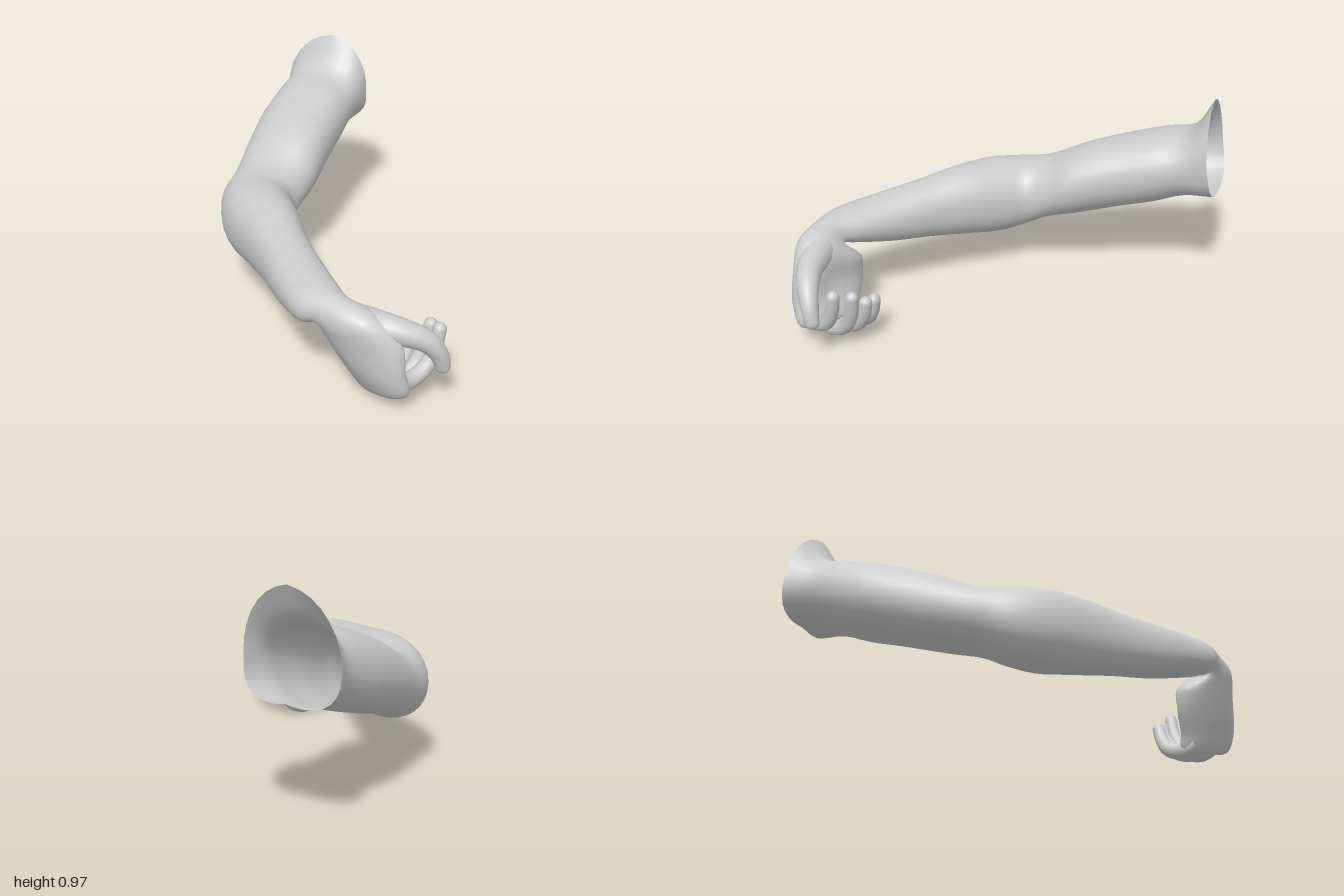
import * as THREE from 'three';

const V = (p) => new THREE.Vector3(...p);
const material = new THREE.MeshStandardMaterial({ color: 0xcccccc, side: THREE.DoubleSide });

// Skins a list of closed rings (arrays of Vector3) with smooth normals.
function skin(name, rings) {
  const n = rings[0].length, index = [];
  for (let i = 0; i < rings.length - 1; i++) {
    for (let j = 0; j < n; j++) {
      const k = (j + 1) % n;
      const a = i * n + j, b = i * n + k, c = a + n, d = b + n;
      index.push(a, b, c, b, d, c);
    }
  }
  const geometry = new THREE.BufferGeometry().setFromPoints(rings.flat());
  geometry.setIndex(index);
  geometry.computeVertexNormals();
  const mesh = new THREE.Mesh(geometry, material);
  mesh.name = name;
  return mesh;
}

// Rounded ring through four points; a lower power squares off the underside.
function ring(outer, inner, top, bottom, underPower = 0.93) {
  const sides = 28;
  const [o, i, t, b] = [outer, inner, top, bottom].map(V);
  const c = o.clone().add(i).add(t).add(b).multiplyScalar(0.25);
  return Array.from({ length: sides }, (_, k) => {
    const a = (k / sides) * Math.PI * 2, x = Math.cos(a), y = Math.sin(a);
    const power = y < 0 ? underPower : 0.93;
    return c.clone()
      .addScaledVector((x > 0 ? i : o).clone().sub(c), Math.pow(Math.abs(x), power))
      .addScaledVector((y > 0 ? t : b).clone().sub(c), Math.pow(Math.abs(y), power));
  });
}

// Arm section from plan positions of its outer and inner side plus its height range.
function armRing([ox, oz, ix, iz, top, bottom]) {
  const x = (ox + ix) / 2, z = (oz + iz) / 2, y = (top + bottom) / 2;
  return ring([ox, y, oz], [ix, y, iz], [x, top, z], [x, bottom, z]);
}

// Adds in-between rings along smooth curves.
function smooth(rings, steps) {
  const columns = rings[0].map((_, j) =>
    new THREE.CatmullRomCurve3(rings.map((r) => r[j]), false, 'centripetal'));
  const total = (rings.length - 1) * steps;
  return Array.from({ length: total + 1 }, (_, i) => columns.map((c) => c.getPoint(i / total)));
}

// Tapered, round-tipped digit along a bent path.
function digit(name, path, r0, r1) {
  const curve = new THREE.CatmullRomCurve3(path.map(V));
  const steps = 18, sides = 14, rings = [];
  const { tangents, normals, binormals } = curve.computeFrenetFrames(steps, false);
  const addRing = (center, radius, f) => rings.push(Array.from({ length: sides }, (_, k) => {
    const a = (k / sides) * Math.PI * 2;
    return center.clone()
      .addScaledVector(normals[f], Math.cos(a) * radius)
      .addScaledVector(binormals[f], Math.sin(a) * radius);
  }));
  for (let i = 0; i <= steps; i++) {
    addRing(curve.getPointAt(i / steps), THREE.MathUtils.lerp(r0, r1, i / steps), i);
  }
  for (let i = 1; i <= 5; i++) {
    const a = (i / 5) * Math.PI / 2;
    const center = curve.getPointAt(1).addScaledVector(tangents[steps], r1 * Math.sin(a));
    addRing(center, Math.max(r1 * Math.cos(a), 0.0005), steps);
  }
  return skin(name, rings);
}

export function createModel() {
  const model = new THREE.Group();
  model.name = 'arm';

  // Open shoulder end, upper arm, elbow, forearm and wrist
  const armRings = [
    ring([0.57, 0.66, -1.0], [0.72, 0.67, -0.56], [0.64, 0.965, -0.74], [0.68, 0.508, -0.79], 0.78),
    ...[
      [0.49, -0.935, 0.59, -0.525, 0.81, 0.47],
      [0.36, -0.885, 0.46, -0.465, 0.78, 0.42],
      [0.22, -0.83, 0.30, -0.39, 0.735, 0.375],
      [0.02, -0.715, 0.11, -0.295, 0.665, 0.318],
      [-0.18, -0.59, 0.0, -0.27, 0.58, 0.28],
      [-0.32, -0.51, -0.09, -0.248, 0.563, 0.222],
      [-0.44, -0.35, -0.15, -0.165, 0.575, 0.2],
      [-0.515, -0.12, -0.225, -0.04, 0.573, 0.225],
      [-0.58, 0.07, -0.33, 0.13, 0.545, 0.255],
      [-0.67, 0.28, -0.42, 0.32, 0.52, 0.285],
    ].map(armRing),
    ring([-0.728, 0.4, 0.48], [-0.5, 0.42, 0.5], [-0.62, 0.505, 0.49], [-0.61, 0.335, 0.49]),
  ];

  // Palm hangs from the wrist: back, palm side, thumb side, little-finger side
  const palmRings = [
    ring([-0.703, 0.395, 0.56], [-0.54, 0.42, 0.59], [-0.63, 0.495, 0.62], [-0.6, 0.36, 0.55]),
    ring([-0.687, 0.355, 0.645], [-0.48, 0.36, 0.63], [-0.59, 0.46, 0.765], [-0.55, 0.29, 0.485]),
    ring([-0.655, 0.26, 0.695], [-0.495, 0.26, 0.7], [-0.53, 0.35, 0.88], [-0.51, 0.2, 0.5]),
    ring([-0.605, 0.14, 0.74], [-0.475, 0.18, 0.74], [-0.53, 0.19, 0.908], [-0.485, 0.09, 0.56]),
    ring([-0.54, 0.045, 0.75], [-0.44, 0.11, 0.75], [-0.5, 0.1, 0.905], [-0.46, 0.028, 0.59]),
    ring([-0.45, 0.07, 0.75], [-0.45, 0.07, 0.75], [-0.45, 0.07, 0.75], [-0.45, 0.07, 0.75]),
  ];
  model.add(skin('armAndPalm', smooth([...armRings, ...palmRings], 4)));

  // Curled fingers
  const fingers = {
    indexFinger: [[-0.54, 0.16, 0.865], [-0.46, 0.135, 0.87], [-0.37, 0.165, 0.88], [-0.32, 0.25, 0.885], [-0.303, 0.325, 0.89]],
    middleFinger: [[-0.53, 0.11, 0.79], [-0.45, 0.07, 0.785], [-0.345, 0.11, 0.79], [-0.287, 0.21, 0.8], [-0.268, 0.295, 0.81]],
    ringFinger: [[-0.51, 0.08, 0.71], [-0.44, 0.052, 0.705], [-0.345, 0.085, 0.71], [-0.29, 0.16, 0.72], [-0.27, 0.23, 0.725]],
    littleFinger: [[-0.51, 0.06, 0.63], [-0.455, 0.037, 0.615], [-0.375, 0.06, 0.615], [-0.33, 0.12, 0.625], [-0.31, 0.185, 0.63]],
  };
  for (const [name, path] of Object.entries(fingers)) model.add(digit(name, path, 0.041, 0.03));

  // Thumb reaching across the fingertips
  model.add(digit('thumb',
    [[-0.57, 0.39, 0.7], [-0.49, 0.375, 0.845], [-0.42, 0.335, 0.925], [-0.378, 0.265, 0.96], [-0.365, 0.212, 0.966]],
    0.075, 0.034));

  return model;
}
